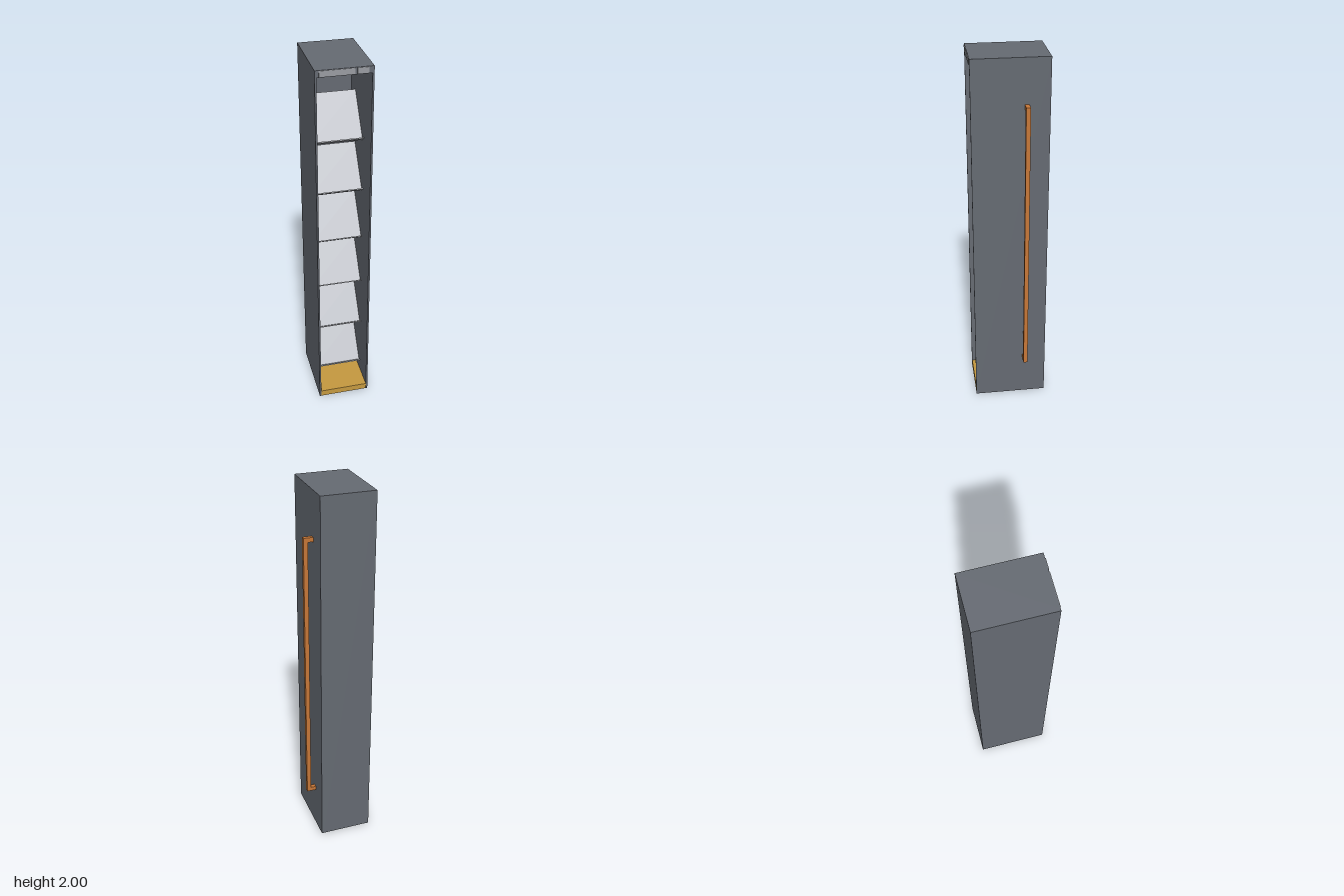
import * as THREE from 'three';

const mat = (name, color) => {
  const m = new THREE.MeshStandardMaterial({ color });
  m.name = name;
  return m;
};

export function createModel() {
  const body = mat('slate grey', 0x666b73);
  const light = mat('light grey', 0xabaeb5);
  const plate = mat('label grey', 0x9a9da2);
  const gold = mat('ochre', 0xc69a40);
  const copper = mat('copper', 0xc87838);

  const model = new THREE.Group();
  model.name = 'displayCabinet';

  // Box given by its lower and upper limits on each axis
  const box = (parent, name, material, [x0, x1], [y0, y1], [z0, z1]) => {
    const mesh = new THREE.Mesh(new THREE.BoxGeometry(x1 - x0, y1 - y0, z1 - z0), material);
    mesh.position.set((x0 + x1) / 2, (y0 + y1) / 2, (z0 + z1) / 2);
    mesh.name = name;
    parent.add(mesh);
    return mesh;
  };

  const L = -0.17, R = 0.117, T = 0.009; // outer sides and wall thickness
  const inner = [L + T, R - T];
  const back = -0.202, front = 0.197;

  // Carcass
  box(model, 'leftPanel', body, [L, L + T], [0, 2], [back, front]);
  box(model, 'rightPanel', body, [R - T, R], [0, 2], [back, front]);
  box(model, 'backPanel', body, inner, [0.001, 2], [back, back + T]);
  box(model, 'topPanel', body, inner, [1.965, 2], [back + T, front]);
  box(model, 'base', gold, inner, [0, 0.036], [back + T / 2, front - 0.001]);

  // Thin label plates on the header
  box(model, 'wideLabel', plate, [-0.15, 0.023], [1.968, 1.998], [front, 0.2]);
  box(model, 'smallLabel', plate, [0.035, 0.09], [1.968, 1.998], [front, 0.2]);

  // Tilted shelves: sloping sheet with a square lip, extruded across the width
  const width = inner[1] - inner[0];
  const slope = 0.262, lip = 0.038, t = 0.006;
  const profile = new THREE.Shape([
    [0, 0], [lip, 0], [lip, t], [t, t], [t, slope], [0, slope],
  ].map(([x, y]) => new THREE.Vector2(x, y)));
  const shelfGeometry = new THREE.ExtrudeGeometry(profile, { depth: width, bevelEnabled: false });
  shelfGeometry.rotateY(-Math.PI / 2); // profile x becomes depth
  shelfGeometry.rotateX(-0.625); // lean back
  for (let i = 0; i < 6; i++) {
    const shelf = new THREE.Mesh(shelfGeometry, light);
    shelf.name = `tiltedShelf${i + 1}`;
    shelf.position.set(inner[1], 0.084 + i * 0.2925, 0.035);
    model.add(shelf);
  }

  // Long square pull handle on the side
  const handle = new THREE.Group();
  handle.name = 'handle';
  model.add(handle);
  const hz = [-0.095, -0.072], y0 = 0.238, y1 = 1.764, s = 0.023;
  box(handle, 'handleBar', copper, [0.168 - s, 0.168], [y0, y1], hz);
  for (const y of [y0, y1 - s]) box(handle, 'handleArm', copper, [R, 0.168 - s], [y, y + s], hz);

  return model;
}
